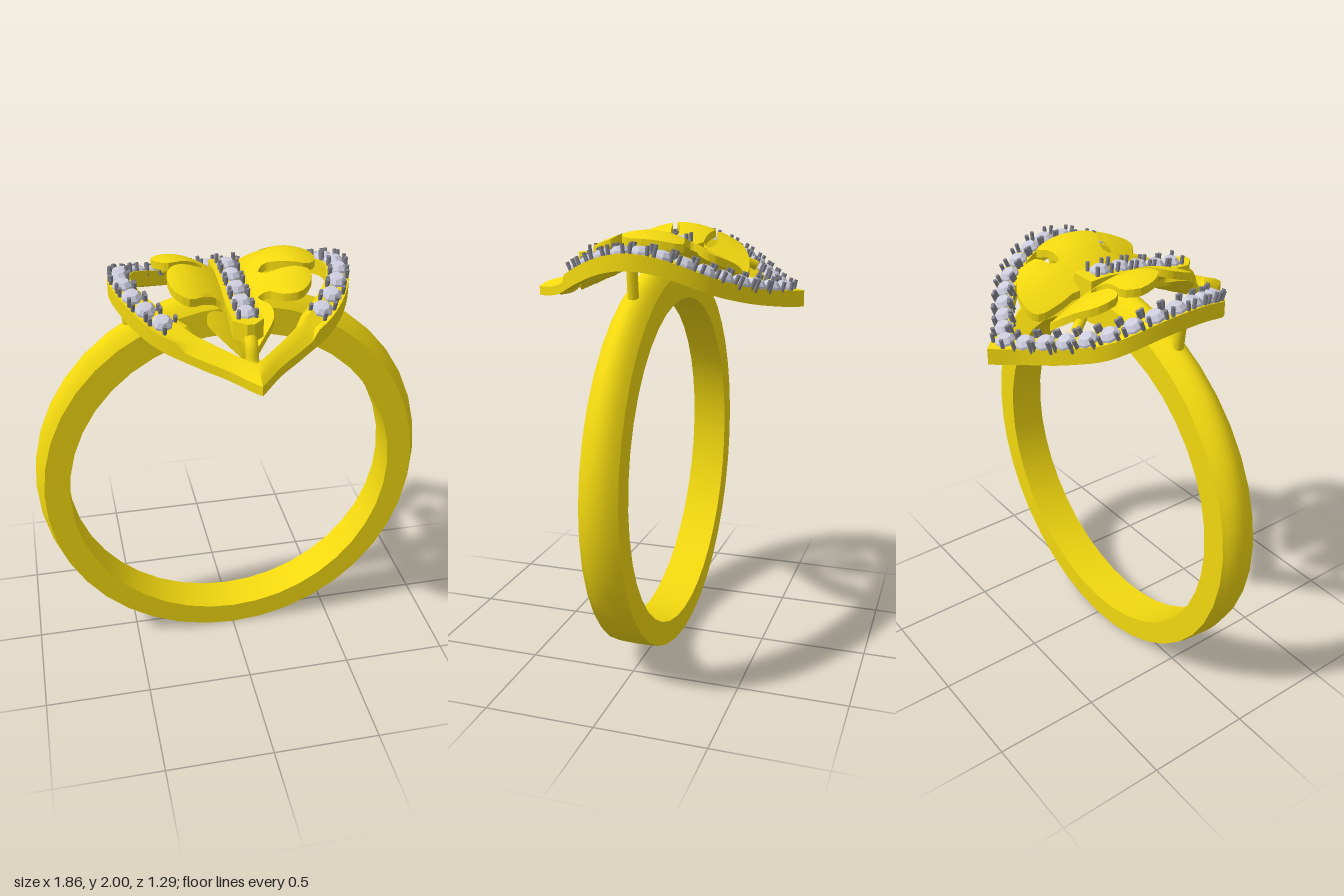
import * as THREE from 'three';
import { toCreasedNormals } from 'three/addons/utils/BufferGeometryUtils.js';

const V3 = (x, y, z) => new THREE.Vector3(x, y, z);
const gold = new THREE.MeshStandardMaterial({ color: 0xf2d80f });
const gemMat = new THREE.MeshStandardMaterial({ color: 0xccccdd, flatShading: true });
const prongMat = new THREE.MeshStandardMaterial({ color: 0x80808c });

function mesh(name, geometry, material = gold) {
  const m = new THREE.Mesh(geometry, material);
  m.name = name;
  return m;
}

// Skin a row of equal-length cross-sections; open rows get end caps
function loft(sections, closed, crease = 0.6) {
  const n = sections[0].length, rows = sections.length, index = [];
  for (let i = 0; i < (closed ? rows : rows - 1); i++) {
    for (let j = 0; j < n; j++) {
      const k = (j + 1) % n, r = ((i + 1) % rows) * n;
      index.push(i * n + j, r + j, r + k, i * n + j, r + k, i * n + k);
    }
  }
  if (!closed) {
    const e = (rows - 1) * n;
    for (let j = 1; j < n - 1; j++) index.push(0, j, j + 1, e, e + j + 1, e + j);
  }
  const g = new THREE.BufferGeometry().setFromPoints(sections.flat());
  g.setIndex(index);
  return toCreasedNormals(g, crease);
}

// Split every triangle in four, so a flat extrusion can be bent
function subdivide(geometry, times) {
  let p = Array.from((geometry.index ? geometry.toNonIndexed() : geometry).attributes.position.array);
  for (let s = 0; s < times; s++) {
    const q = [];
    for (let i = 0; i < p.length; i += 9) {
      const [a, b, c] = [0, 3, 6].map(o => p.slice(i + o, i + o + 3));
      const mid = (u, v) => u.map((w, k) => (w + v[k]) / 2);
      const ab = mid(a, b), bc = mid(b, c), ca = mid(c, a);
      q.push(...a, ...ab, ...ca, ...ab, ...b, ...bc, ...ca, ...bc, ...c, ...ab, ...bc, ...ca);
    }
    p = q;
  }
  const g = new THREE.BufferGeometry();
  g.setAttribute('position', new THREE.Float32BufferAttribute(p, 3));
  return g;
}

const tube = (name, radius, ...pts) =>
  mesh(name, new THREE.TubeGeometry(new THREE.CatmullRomCurve3(pts), 12, radius, 10));

// Faceted stone with four prongs
const gemGeo = new THREE.LatheGeometry(
  [[0, -0.045], [0.046, 0], [0.044, 0.01], [0.027, 0.028], [0, 0.03]].map(p => new THREE.Vector2(...p)), 8);
const prongGeo = new THREE.CylinderGeometry(0.009, 0.009, 0.06, 8);
function stone(pos, tangent, normal) {
  const g = new THREE.Group();
  g.name = 'stone';
  const n = normal.clone().normalize(), side = n.clone().cross(tangent).normalize();
  g.setRotationFromMatrix(new THREE.Matrix4().makeBasis(side, n, side.clone().cross(n)));
  g.position.copy(pos);
  g.add(mesh('gem', gemGeo, gemMat));
  for (const x of [-1, 1]) for (const z of [-1, 1]) {
    const p = mesh('prong', prongGeo, prongMat);
    p.position.set(x * 0.037, 0.01, z * 0.037);
    g.add(p);
  }
  return g;
}

// Finger band: thicker, narrower and more domed towards the top
function makeBand() {
  const rows = [], seg = 40;
  for (let i = 0; i < seg; i++) {
    const t = i / seg * Math.PI * 2, c = Math.cos(t), s = Math.sin(t), up = (1 + s) / 2;
    const w = 0.096 - 0.018 * up, row = [];
    for (let v = -1; v <= 1.01; v += 0.25) {
      const r = 0.93 - 0.065 * up * v * v;
      row.push(V3(c * r, 0.93 + s * r, v * w));
    }
    for (const v of [1, -1]) row.push(V3(c * 0.78, 0.89 + s * 0.78, v * w));
    rows.push(row);
  }
  return mesh('band', loft(rows, true));
}

// Saddle height of the pointed frame along z
const frameBase = z => 1.755 + 0.095 * Math.cos(Math.PI * z / 0.64);
const frameTop = z => frameBase(z) + 0.072;
const frameNormal = z => V3(0, 1, -(frameTop(z + 0.01) - frameTop(z - 0.01)) / 0.02);

// Pointed oval frame and its row of stones
function makeFrame() {
  const g = new THREE.Group();
  g.name = 'pointedFrame';
  const outer = [[0, .645], [.1, .53], [.22, .44], [.38, .32], [.48, .18], [.53, 0], [.5, -.17], [.42, -.32], [.28, -.43], [.1, -.55], [0, -.645]];
  const inner = [[0, .5], [.08, .44], [.18, .36], [.3, .25], [.385, .14], [.43, 0], [.405, -.15], [.335, -.27], [.22, -.38], [.08, -.465], [0, -.52]];
  const curve = pts => new THREE.CatmullRomCurve3(pts.map(([x, z]) => V3(x, 0, z)));
  const co = curve(outer), ci = curve(inner);
  const mid = curve(outer.map((o, i) => [(o[0] + inner[i][0]) / 2, (o[1] + inner[i][1]) / 2]));
  const N = 48;
  const section = (i, m) => {
    const o = co.getPoint(i / N), q = ci.getPoint(i / N), c = o.clone().lerp(q, 0.5);
    const drop = i / N < 0.25 ? 0.03 : 0; // rounded where there are no stones
    const at = (p, y) => V3(p.x * m, y, p.z);
    return [at(o, frameBase(o.z)), at(o, frameTop(o.z) - drop), at(o.clone().lerp(q, 0.25), frameTop(o.z) - drop * 0.25),
      at(c, frameTop(c.z)), at(o.clone().lerp(q, 0.75), frameTop(q.z) - drop * 0.25),
      at(q, frameTop(q.z) - drop), at(q, frameBase(q.z))];
  };
  const rows = [];
  for (let i = 0; i <= N; i++) rows.push(section(i, 1));
  for (let i = N - 1; i > 0; i--) rows.push(section(i, -1));
  g.add(mesh('frameRail', loft(rows, true, 0.5)));

  for (let k = 0; k < 12; k++) {
    const u = 0.285 + k * 0.0585, p = mid.getPointAt(u), t = mid.getTangentAt(u);
    for (const m of [1, -1]) {
      g.add(stone(V3(p.x * m, frameTop(p.z), p.z), V3(t.x * m, 0, t.z), frameNormal(p.z)));
    }
  }
  g.add(stone(V3(0, frameTop(-0.555), -0.555), V3(0, 0, 1), frameNormal(-0.555)));
  return g;
}

// Split leaf, cupped across x and drooping along z
function makeLeaf() {
  const outline = [[.02, -.16], [.03, -.27], [.05, -.36], [.1, -.39], [.2, -.37], [.28, -.29], [.27, -.23], [.18, -.2], [.17, -.165], [.24, -.16],
    [.33, -.18], [.37, -.08], [.37, .04], [.32, .1], [.22, .08], [.14, .04], [.11, .07], [.15, .11],
    [.25, .12], [.32, .14], [.31, .2], [.25, .26], [.18, .25], [.12, .2], [.08, .2], [.12, .27], [.12, .33], [.06, .39], [0, .43],
    [-.1, .38], [-.16, .32], [-.13, .28], [-.07, .25], [-.06, .215], [-.1, .2], [-.15, .22], [-.22, .25], [-.28, .2], [-.29, .1], [-.25, .05],
    [-.18, .03], [-.12, .015], [-.12, -.02], [-.18, -.01], [-.27, .03], [-.32, -.02], [-.33, -.1], [-.28, -.16],
    [-.2, -.155], [-.1, -.15], [-.09, -.18], [-.14, -.205], [-.22, -.18], [-.29, -.19], [-.27, -.27], [-.2, -.33], [-.1, -.37], [-.04, -.36], [-.02, -.3], [-.02, -.16]];
  const smooth = new THREE.CatmullRomCurve3(outline.map(([x, z]) => V3(x, -z, 0)), true);
  const shape = new THREE.Shape(smooth.getPoints(150).slice(0, -1).map(p => new THREE.Vector2(p.x, p.y)));
  const flat = new THREE.ExtrudeGeometry(shape, { depth: 0.035, bevelEnabled: false, steps: 1 });
  const geo = subdivide(flat.rotateX(-Math.PI / 2), 3), p = geo.attributes.position;
  for (let i = 0; i < p.count; i++) {
    const x = Math.abs(p.getX(i)), z = p.getZ(i);
    const cup = 0.125 * Math.sin(Math.PI / 2 * x / 0.26);
    p.setY(i, p.getY(i) + 1.84 + cup - 0.085 * (1 - Math.cos(Math.PI * z / 0.55)));
  }
  return mesh('splitLeaf', toCreasedNormals(geo, 0.7));
}

// Raised midrib with a pointed front end and five stones
function makeMidrib() {
  const g = new THREE.Group();
  g.name = 'midrib';
  const top = z => 1.9 + 0.03 * Math.cos(Math.PI * (z + 0.08) / 0.46);
  const rows = [];
  for (let i = 0; i <= 12; i++) {
    const z = i < 12 ? -0.16 + i * 0.049 : 0.43, w = i < 12 ? 0.064 : 0.015;
    rows.push([V3(-w, top(z) - 0.08, z), V3(-w, top(z), z), V3(w, top(z), z), V3(w, top(z) - 0.08, z)]);
  }
  g.add(mesh('midribBar', loft(rows, false)));
  for (const z of [-0.07, 0.035, 0.135, 0.235, 0.325]) {
    g.add(stone(V3(0, top(z), z), V3(0, 0, 1), V3(0, 1, -(top(z + 0.01) - top(z - 0.01)) / 0.02)));
  }
  return g;
}

export function createModel() {
  const model = new THREE.Group();
  model.name = 'leafRing';
  model.add(makeBand(), makeFrame(), makeLeaf(), makeMidrib());
  // Leaf stem and the small struts joining leaf, frame and band
  model.add(tube('stem', 0.028, V3(0, 1.83, 0.38), V3(0, 1.78, 0.44), V3(0, 1.71, 0.47), V3(0, 1.69, 0.54)));
  model.add(tube('leafStrut', 0.022, V3(-0.24, 1.81, -0.37), V3(-0.17, 1.86, -0.27)));
  for (const s of [1, -1]) {
    model.add(tube('framePost', 0.025, V3(s * 0.45, 1.7, 0), V3(s * 0.47, 1.87, 0)));
  }
  return model;
}
